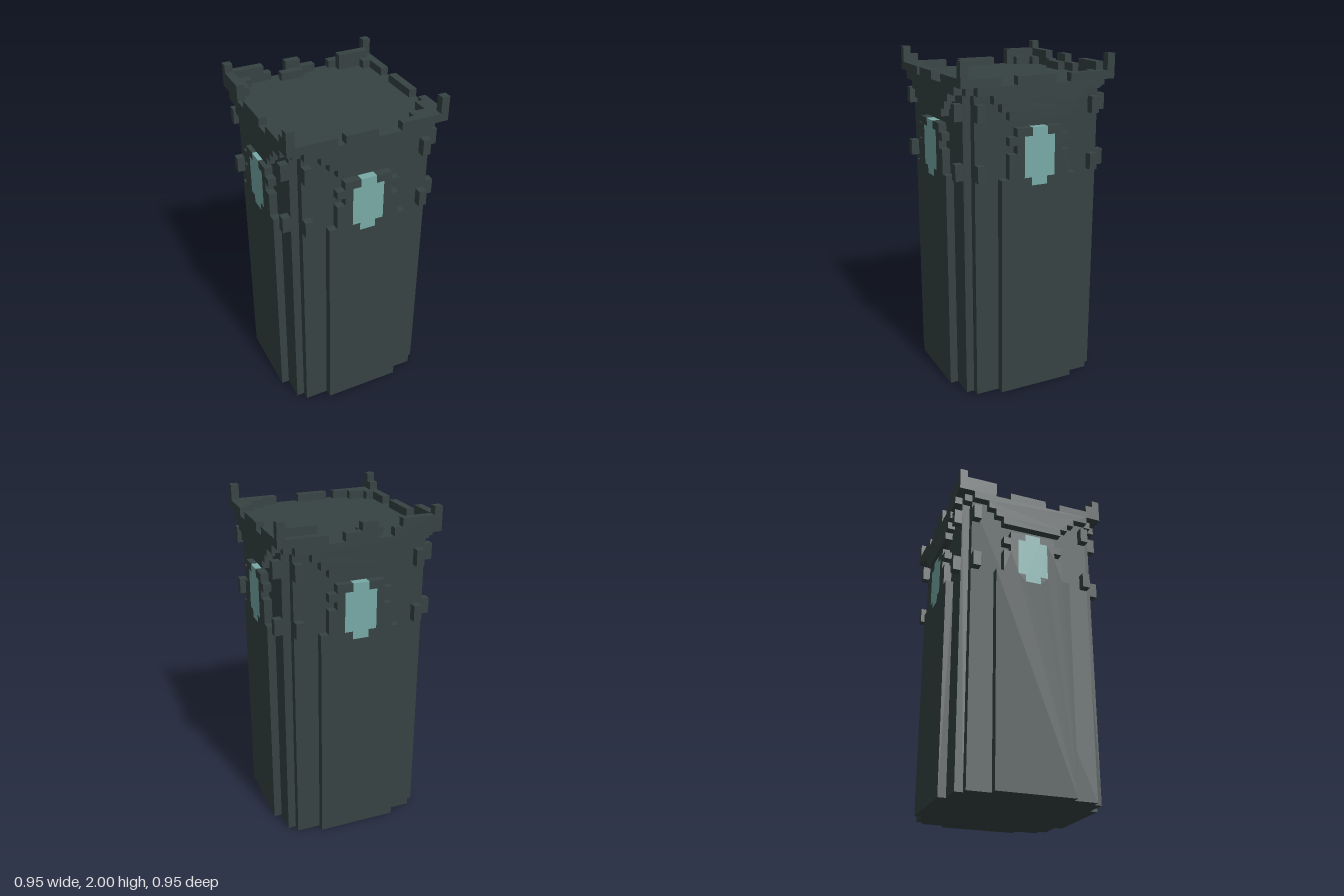
import * as THREE from 'three';

const U = 1 / 21; // size of one block; all figures below are in blocks

export function createModel() {
  const stone = new THREE.MeshStandardMaterial({ color: 0x364242 });
  stone.name = 'dark stone';
  const glass = new THREE.MeshStandardMaterial({ color: 0x78aaa6 });
  glass.name = 'pale teal glass';

  const tower = new THREE.Group();
  tower.name = 'tower';

  function box(parent, name, x0, x1, y0, y1, z0, z1) {
    const mesh = new THREE.Mesh(new THREE.BoxGeometry(x1 - x0, y1 - y0, z1 - z0), stone);
    mesh.position.set((x0 + x1) / 2, (y0 + y1) / 2, (z0 + z1) / 2);
    mesh.name = name;
    parent.add(mesh);
    return mesh;
  }

  // One-block-thick plate on a wall, from the right half of its outline
  function plate(parent, name, half, material) {
    const mirrored = half.map(([x, y]) => [-x, y]).reverse();
    const shape = new THREE.Shape([...half, ...mirrored].map(([x, y]) => new THREE.Vector2(x, y)));
    const mesh = new THREE.Mesh(
      new THREE.ExtrudeGeometry(shape, { depth: 1, bevelEnabled: false }), material);
    mesh.position.z = 9;
    mesh.name = name;
    parent.add(mesh);
  }

  // Shaft core with notched corners, standing upright
  const core = [[9, 8], [8, 8], [8, 9], [-8, 9], [-8, 8], [-9, 8],
    [-9, -8], [-8, -8], [-8, -9], [8, -9], [8, -8], [9, -8]];
  const shaft = new THREE.Mesh(
    new THREE.ExtrudeGeometry(new THREE.Shape(core.map(([x, y]) => new THREE.Vector2(x, y))),
      { depth: 38, bevelEnabled: false }), stone);
  shaft.rotation.x = -Math.PI / 2;
  shaft.name = 'shaft';
  tower.add(shaft);
  box(tower, 'roof', -9, 9, 38, 39, -9, 9);

  // Four identical walls: raised panel, window, collar and knobs
  const windowHalf = [[1, 27], [1, 28], [2, 28], [2, 33], [1, 33], [1, 34]];
  const panelHalf = [[5, 0], [5, 28], [4, 28], [4, 31], [3, 31], [3, 32], [4, 32], [4, 33],
    [3, 33], [3, 34], ...[...windowHalf].reverse()];
  const collarHalf = [[4, 35], [4, 36], [5, 36], [5, 37], [6, 37], [6, 38], [8, 38], [8, 39]];
  for (let i = 0; i < 4; i++) {
    const wall = new THREE.Group();
    wall.name = 'wall';
    wall.rotation.y = i * Math.PI / 2;
    plate(wall, 'wallPanel', panelHalf, stone);
    plate(wall, 'window', windowHalf, glass);
    plate(wall, 'collar', collarHalf, stone);
    for (const x of [-8, 7]) {
      box(wall, 'lowerKnob', x, x + 1, 28, 30, 9, 10);
      box(wall, 'upperKnob', x, x + 1, 35, 37, 9, 10);
    }
    tower.add(wall);
  }

  // Crumbling parapet: x0, x1, z0, z1, top
  const parapet = {
    backLeft: [[-9, -5, -10, -9, 41], [-5, -4, -10, -9, 40], [-10, -9, -9, -5, 41],
      [-9, -8, -9, -6, 40], [-8, -7, -9, -8, 40]],
    backRight: [[4, 9, -10, -9, 40], [5, 9, -9, -8, 41], [8, 9, -8, -7, 40],
      [9, 10, -9, -4, 40]],
    frontLeft: [[-10, -9, 8, 9, 41], [-10, -9, 4, 8, 40], [-9, -8, 7, 9, 40],
      [-8, -6, 8, 9, 40], [-9, -4, 9, 10, 40]],
    frontRight: [[9, 10, 5, 9, 40], [8, 9, 6, 9, 40], [6, 8, 8, 9, 40], [4, 9, 9, 10, 40]],
    middle: [[-2, 0, -10, -9, 41], [0, 2, -10, -9, 40], [-3, 0, -9, -8, 40],
      [-3, 1, 9, 10, 40], [-10, -9, -3, 2, 40], [9, 10, -2, 3, 40]],
  };
  for (const [side, blocks] of Object.entries(parapet)) {
    for (const [x0, x1, z0, z1, top] of blocks) {
      box(tower, side + 'Parapet', x0, x1, 39, top, z0, z1);
    }
  }
  // Tall corner posts
  for (const x of [-10, 9]) {
    for (const z of [-10, 9]) box(tower, 'cornerPost', x, x + 1, 39, 42, z, z + 1);
  }

  tower.scale.setScalar(U);
  const model = new THREE.Group();
  model.name = 'stoneTower';
  model.add(tower);
  return model;
}
